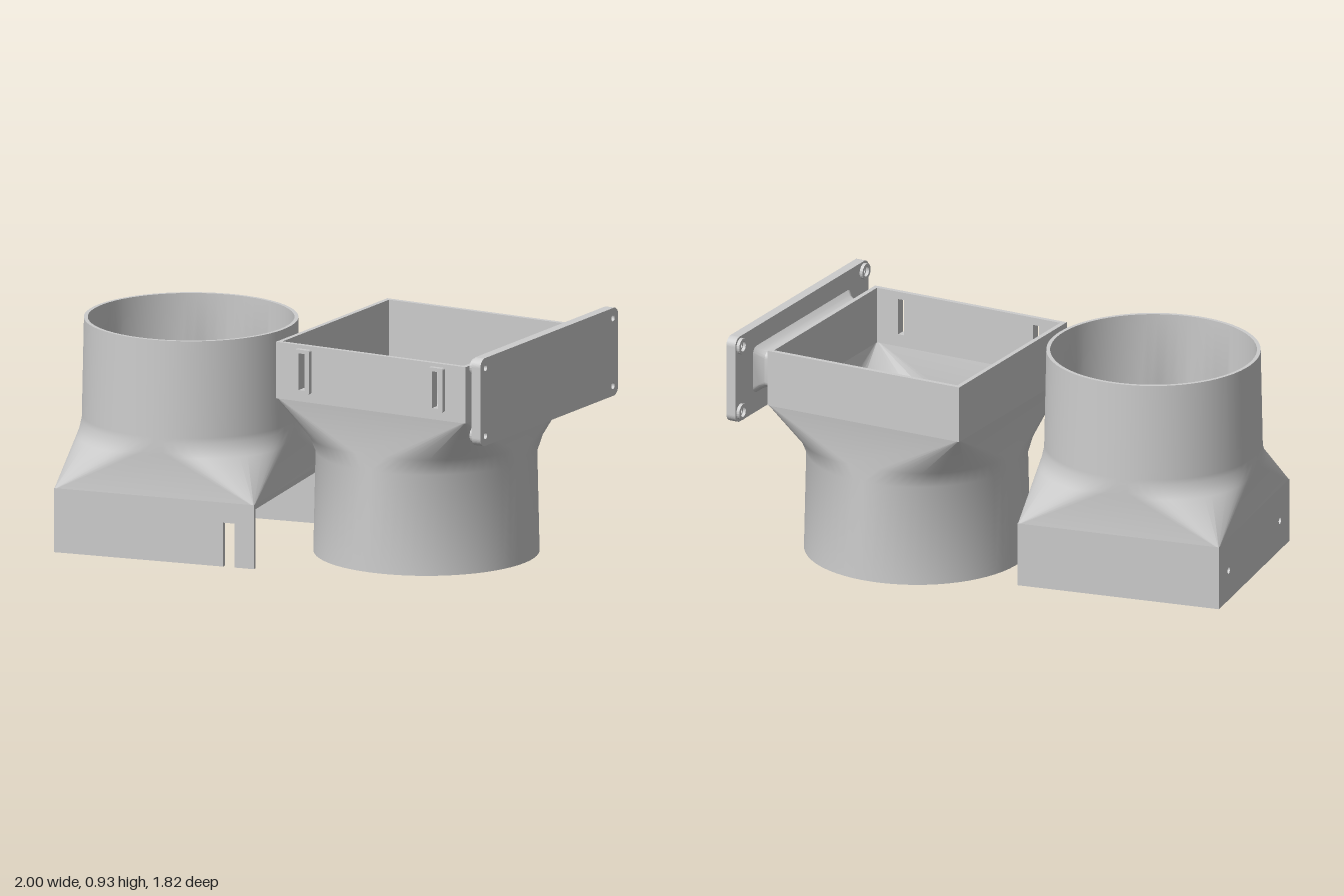
import * as THREE from 'three';
import { toCreasedNormals } from 'three/addons/utils/BufferGeometryUtils.js';

const gray = new THREE.MeshStandardMaterial({ color: 0xcccccc });
gray.name = 'light gray plastic';

function add(parent, name, geo) {
  const m = new THREE.Mesh(geo, gray);
  m.name = name;
  parent.add(m);
  return m;
}

// Rounded rectangle ring; with hx = hz = r it is a circle
function ring([y, hx, hz, r], n = 16) {
  const pts = [];
  for (let q = 0; q < 4; q++) {
    const sx = q === 0 || q === 3 ? 1 : -1, sz = q < 2 ? 1 : -1;
    for (let i = 0; i <= n; i++) {
      const t = (q + i / n) * Math.PI / 2;
      pts.push(new THREE.Vector3(sx * (hx - r) + r * Math.cos(t), y, sz * (hz - r) + r * Math.sin(t)));
    }
  }
  return pts;
}

// Skin joining successive rings, optionally closed back to the first one
function loft(levels, closed) {
  const rings = levels.map(l => ring(l)), pos = [];
  const tri = (a, b, c) => {
    const area = b.clone().sub(a).cross(c.clone().sub(a)).length();
    if (area > 1e-8) for (const p of [a, b, c]) pos.push(p.x, p.y, p.z);
  };
  const count = closed ? rings.length : rings.length - 1;
  for (let j = 0; j < count; j++) {
    const lo = rings[j], hi = rings[(j + 1) % rings.length];
    for (let i = 0; i < lo.length; i++) {
      const k = (i + 1) % lo.length;
      tri(lo[i], hi[i], lo[k]);
      tri(hi[i], hi[k], lo[k]);
    }
  }
  const g = new THREE.BufferGeometry();
  g.setAttribute('position', new THREE.Float32BufferAttribute(pos, 3));
  return toCreasedNormals(g, 0.45);
}

const square = (y, h) => [y, h, h, 0.012];
const round = (y, r) => [y, r, r, r];
const mix = (a, b, t) => a.map((v, i) => v + (b[i] - v) * t);

function shapeOf(points, holes = []) {
  const s = new THREE.Shape(points.map(p => new THREE.Vector2(...p)));
  s.holes = holes;
  return s;
}
const rectPts = (x0, y0, x1, y1) => [[x0, y0], [x1, y0], [x1, y1], [x0, y1]];
const rectHole = (...r) => new THREE.Path(rectPts(...r).map(p => new THREE.Vector2(...p)));
const roundHole = (x, y, r) => new THREE.Path().absarc(x, y, r, 0, Math.PI * 2, true);

function extrude(shape, depth) {
  return new THREE.ExtrudeGeometry(shape, { depth, bevelEnabled: false, curveSegments: 10 });
}

// Flat wall on side k of a square (0 front, 1 right, 2 back, 3 left)
function wall(parent, name, k, half, t, shape) {
  const m = add(parent, name, extrude(shape, t).translate(0, 0, half - t));
  m.rotation.y = k * Math.PI / 2;
  return m;
}

function roundedRect(hw, hh, r) {
  const s = new THREE.Shape();
  s.absarc(hw - r, hh - r, r, 0, Math.PI / 2);
  s.absarc(-hw + r, hh - r, r, Math.PI / 2, Math.PI);
  s.absarc(-hw + r, -hh + r, r, Math.PI, Math.PI * 1.5);
  s.absarc(hw - r, -hh + r, r, Math.PI * 1.5, Math.PI * 2);
  return s;
}

// Adapter with the square socket at the bottom and the round pipe on top
function squareBottomAdapter() {
  const g = new THREE.Group();
  g.name = 'squareBottomAdapter';
  const h = 0.414, t = 0.018, top = 0.255;
  const base = square(top, h), neck = round(0.455, 0.425);
  add(g, 'roundPipe', loft([
    base, mix(base, neck, 0.82), mix(base, neck, 0.9), round(0.475, 0.4245), round(0.495, 0.424),
    round(0.88, 0.416), round(0.88, 0.401), round(0.455, 0.407), square(top, h - t)], true));

  // Front wall with an open cable notch
  wall(g, 'notchedWall', 0, h, t, shapeOf([
    [-h, 0], [0.287, 0], [0.287, 0.175], [0.333, 0.175], [0.333, 0], [h, 0], [h, top], [-h, top]]));
  // Right wall with a wide opening
  wall(g, 'openWall', 1, h, t, shapeOf([
    [-h, 0], [-h + t, 0], [-h + t, 0.235], [h - t, 0.235], [h - t, 0], [h, 0], [h, top], [-h, top]]));
  wall(g, 'plainWall', 2, h, t, shapeOf(rectPts(-h, 0, h, top)));
  wall(g, 'drilledWall', 3, h, t, shapeOf(rectPts(-h, 0, h, top),
    [-0.3, 0.3].map(x => roundHole(x, 0.122, 0.014))));

  // Screw tabs in the two corners beside the drilled wall
  for (const s of [-1, 1]) {
    const c = h - 0.01, l = c - 0.12;
    const pts = [[-c, s * c], [-l, s * c], [-l - 0.02, s * (l + 0.02)], [-c, s * l]];
    const tab = add(g, 'screwTab', extrude(shapeOf(pts, [roundHole(-c + 0.05, s * (c - 0.05), 0.016)]), 0.018));
    tab.rotation.x = Math.PI / 2;
    tab.position.y = 0.02;
  }
  g.position.set(-0.44, 0, 0.346);
  g.rotation.y = Math.PI / 6;
  return g;
}

// Adapter with the round pipe at the bottom, square socket on top and side plate
function squareTopAdapter() {
  const g = new THREE.Group();
  g.name = 'squareTopAdapter';
  const h = 0.426, t = 0.019, y0 = 0.64, y1 = 0.865;
  const neckRing = round(0.43, 0.429), socket = square(y0, h);
  add(g, 'roundPipe', loft([
    round(0, 0.439), round(0.4, 0.43), mix(neckRing, socket, 0.16), socket,
    square(y0, h - t), round(0.43, 0.412), round(0, 0.42)], true));

  const slots = [-0.3, 0.3].map(x => rectHole(x - 0.013, 0.69, x + 0.013, 0.835));
  for (let k = 0; k < 4; k++)
    wall(g, 'socketWall', k, h, t, shapeOf(rectPts(-h, y0, h, y1), k === 0 ? slots : []));

  // Raised frames around the slots
  for (const x of [-0.3, 0.3]) {
    const s = roundedRect(0.033, 0.088, 0.008);
    s.holes = [rectHole(-0.013, -0.073, 0.013, 0.073)];
    add(g, 'slotFrame', extrude(s, 0.02)).position.set(x, 0.763, h - 0.001);
  }

  // Waisted neck between socket and plate
  const plateNeck = add(g, 'plateNeck', loft([
    [0.415, 0.09, 0.385, 0.03], [0.432, 0.08, 0.37, 0.03], [0.45, 0.074, 0.362, 0.03],
    [0.475, 0.075, 0.362, 0.03], [0.495, 0.082, 0.372, 0.03], [0.515, 0.098, 0.392, 0.03]], false));
  plateNeck.rotation.z = -Math.PI / 2;
  plateNeck.position.y = 0.755;

  // Mounting plate with corner holes and rims
  const plate = new THREE.Group();
  plate.name = 'mountingPlate';
  const s = roundedRect(0.528, 0.175, 0.035);
  const corners = [-1, 1].flatMap(a => [-1, 1].map(b => [a * 0.488, b * 0.135]));
  s.holes = corners.map(([x, y]) => roundHole(x, y, 0.013));
  add(plate, 'plate', extrude(s, 0.04));
  for (const [x, y] of corners) {
    const rim = new THREE.Shape().absarc(0, 0, 0.032, 0, Math.PI * 2);
    rim.holes = [roundHole(0, 0, 0.02)];
    add(plate, 'screwRim', extrude(rim, 0.014)).position.set(x, y, -0.013);
  }
  plate.rotation.y = Math.PI / 2;
  plate.position.set(0.512, 0.755, 0);
  g.add(plate);

  g.position.set(0.3, 0, -0.226);
  g.rotation.y = Math.PI / 9;
  return g;
}

export function createModel() {
  const model = new THREE.Group();
  model.name = 'ductAdapters';
  model.add(squareBottomAdapter(), squareTopAdapter());
  return model;
}
